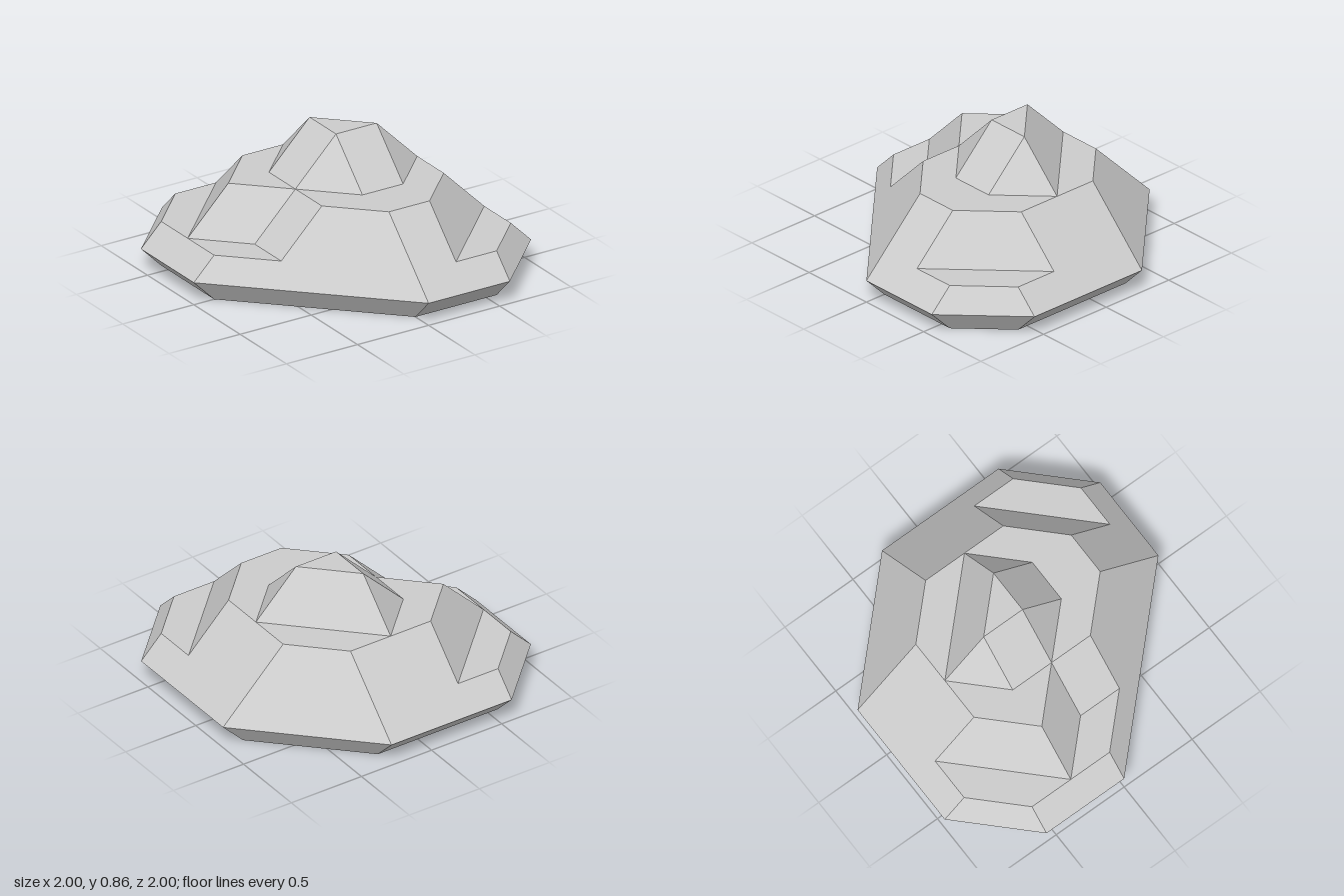
import * as THREE from 'three';

const U = 1 / 7; // every corner lies on a grid of sevenths

// Solid between two matching [x, z] loops; shared top corners make triangular sides.
function loft(name, y0, lower, y1, upper, material, { top = true, bottom = false } = {}) {
  const pos = [];
  const tri = (...pts) => pts.forEach(p => pos.push(p[0] * U, p[1] * U, p[2] * U));
  const at = (loop, y) => loop.map(([x, z]) => [x, y, z]);
  const lo = at(lower, y0), hi = at(upper, y1), n = lo.length;
  const same = (p, q) => p.every((v, k) => v === q[k]);

  // sloping sides
  for (let i = 0; i < n; i++) {
    const j = (i + 1) % n;
    tri(lo[i], hi[j], lo[j]);
    if (!same(hi[i], hi[j])) tri(lo[i], hi[i], hi[j]);
  }

  // flat caps
  const cap = (loop, up) => {
    const pts = loop.filter((p, i) => !same(p, loop[(i + 1) % loop.length]));
    const flat = pts.map(p => new THREE.Vector2(p[0], p[2]));
    for (const [a, b, c] of THREE.ShapeUtils.triangulateShape(flat.slice(), [])) {
      const facesUp = THREE.ShapeUtils.area([flat[a], flat[b], flat[c]]) < 0;
      if (facesUp === up) tri(pts[a], pts[b], pts[c]);
      else tri(pts[a], pts[c], pts[b]);
    }
  };
  if (top) cap(hi, true);
  if (bottom) cap(lo, false);

  const geometry = new THREE.BufferGeometry();
  geometry.setAttribute('position', new THREE.Float32BufferAttribute(pos, 3));
  geometry.computeVertexNormals();
  const mesh = new THREE.Mesh(geometry, material);
  mesh.name = name;
  return mesh;
}

export function createModel() {
  const stone = new THREE.MeshStandardMaterial({ color: 0xcccccc, flatShading: true });
  stone.name = 'stone grey';

  // outlines, clockwise from above starting at the back
  const foot = [[-4, -6], [2, -6], [6, -2], [6, 4], [4, 6], [0, 6], [-6, 0], [-6, -4]];
  const rim = [[-4, -7], [2, -7], [7, -2], [7, 4], [4, 7], [0, 7], [-7, 0], [-7, -4]];
  const ledge = foot; // tapers back in by the same amount
  const bodyBase = [[-2, -6], [2, -6], [6, -2], [6, 2], [2, 6], [0, 6], [-4, 2], [-4, 0], [-6, -2]];
  const plateau = [[-2, -4], [2, -4], [4, -2], [4, 2], [2, 4], [0, 4], [-2, 2], [-2, 0], [-4, -2]];
  const peakBase = [[0, -4], [4, 0], [2, 2], [0, 2], [-2, 0], [-2, -2]];
  const peakTop = [[0, -2], [2, 0], [2, 0], [0, 0], [0, 0], [0, -2]];

  const rock = new THREE.Group();
  rock.name = 'rock';
  rock.add(
    loft('undercutFoot', 0, foot, 1, rim, stone, { top: false, bottom: true }),
    loft('lowerSlope', 1, rim, 2, ledge, stone),
    loft('upperSlope', 2, bodyBase, 4, plateau, stone),
    loft('peak', 4, peakBase, 6, peakTop, stone),
  );
  return rock;
}
